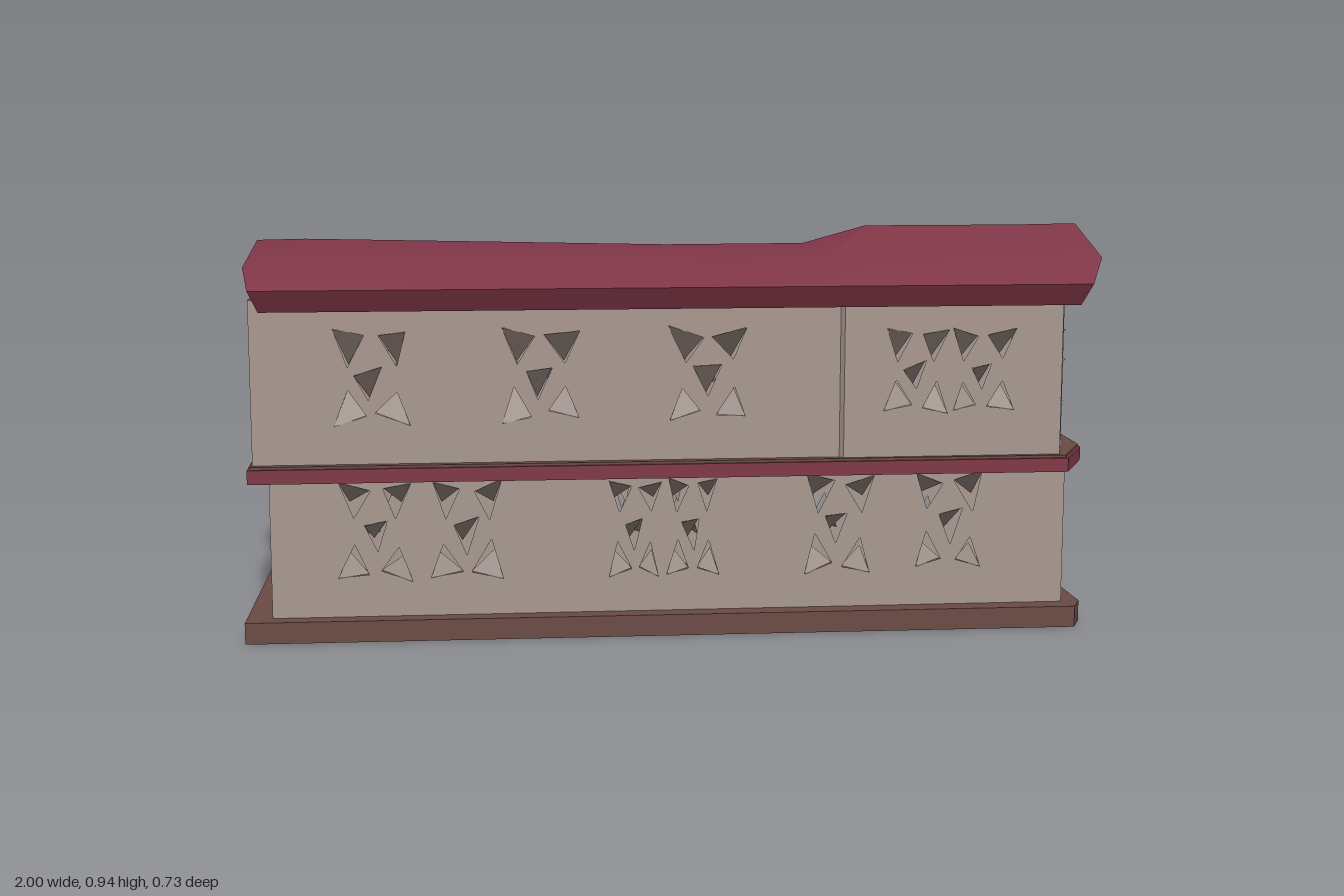
import * as THREE from 'three';
import { toCreasedNormals } from 'three/addons/utils/BufferGeometryUtils.js';

const mat = (name, color) => {
  const m = new THREE.MeshStandardMaterial({ color, side: THREE.DoubleSide });
  m.name = name;
  return m;
};

let seed = 7;
const jitter = (a) => {
  seed = (seed * 16807) % 2147483647;
  return (seed / 2147483647 - 0.5) * 2 * a;
};

// Broken window: triangular openings in a frame of half size hw x hh
function windowTriangles([u, y, hw, hh]) {
  const tris = [];
  for (const sx of [-1, 1]) for (const sy of [-1, 1])
    tris.push([[0.95 * sx, 0.95 * sy], [0.16 * sx, 0.8 * sy], [0.6 * sx, 0.25 * sy]]);
  tris.push([[-0.35, 0.1], [0.3, 0.2], [0, -0.45]]);
  return tris.map((t) => t.map(([a, b]) => [u + (a + jitter(0.07)) * hw, y + (b + jitter(0.07)) * hh]));
}

const geometryFrom = (positions) => {
  const g = new THREE.BufferGeometry();
  g.setAttribute('position', new THREE.Float32BufferAttribute(positions, 3));
  return g;
};

// Flat wall from p0 to p1 (x, z), seen from outside left to right
function wall(name, p0, p1, y0, y1, material, windows = [], shardMaterial = material, gap = 0) {
  const g = new THREE.Group();
  g.name = name;
  const dx = p1[0] - p0[0], dz = p1[1] - p0[1], len = Math.hypot(dx, dz);
  const shape = new THREE.Shape([[0, y0], [len, y0], [len, y1], [0, y1]].map((p) => new THREE.Vector2(...p)));
  const shards = [];
  for (const w of windows) {
    for (const [a, b, c] of windowTriangles(w)) {
      shape.holes.push(new THREE.Path([a, b, c].map((p) => new THREE.Vector2(...p))));
      // bent shard hanging in the opening
      const tip = [c[0] + (a[0] - c[0]) * gap, c[1] + (a[1] - c[1]) * gap];
      shards.push(...a, 0.006, ...b, -0.01, ...tip, -0.05);
    }
  }
  const panel = new THREE.Mesh(new THREE.ShapeGeometry(shape), material);
  panel.name = 'wallPanel';
  g.add(panel);
  if (shards.length) {
    const geo = geometryFrom(shards);
    geo.computeVertexNormals();
    const s = new THREE.Mesh(geo, shardMaterial);
    s.name = 'windowShards';
    g.add(s);
  }
  g.position.set(p0[0], 0, p0[1]);
  g.rotation.y = Math.atan2(-dz, dx);
  return g;
}

// Extruded floor outline from plan points (x, z)
function slab(name, plan, y0, y1, material) {
  const shape = new THREE.Shape(plan.map(([x, z]) => new THREE.Vector2(x, -z)));
  const geo = new THREE.ExtrudeGeometry(shape, { depth: y1 - y0, bevelEnabled: false });
  geo.rotateX(-Math.PI / 2).translate(0, y0, 0);
  const m = new THREE.Mesh(geo, material);
  m.name = name;
  return m;
}

// Roof ring from front eave over the ridge to the back eave, as [z, y]
const roofRing = (ridge) => [
  [0.335, 0.775], [0.362, 0.825], [0.25, 0.862 + (ridge - 0.893) * 0.3], [0, ridge],
  [-0.22, 0.855 + (ridge - 0.893) * 0.4], [-0.368, 0.825], [-0.345, 0.775],
];

function buildRoof(roofMat, gableMat) {
  const g = new THREE.Group();
  g.name = 'roof';
  const leftX = [-0.93, -0.95, -0.97, -0.96, -0.985, -1, -0.98];
  const rightX = [0.92, 0.94, 0.99, 0.995, 0.99, 0.98, 0.97];
  const section = (x, ridge) => roofRing(ridge).map(([z, y], j) => [Array.isArray(x) ? x[j] : x, y, z]);
  // gable opening inside the end rim
  const inset = (ring, shift) => ring.map(([x, y, z]) => [x + shift, 0.835 + Math.max(0, y - 0.825) * 0.68, z * 0.56]);
  const left = section(leftX, 0.91), right = section(rightX, 0.937);
  const middle = [[-0.85, 0.912], [-0.4, 0.902], [0, 0.893], [0.33, 0.894], [0.48, 0.935], [0.85, 0.935]];
  const rings = [inset(left, 0.05), inset(left, 0), left, ...middle.map(([x, r]) => section(x, r)),
    right, inset(right, 0), inset(right, -0.06)];
  const pos = [];
  for (let i = 0; i < rings.length - 1; i++) {
    const a = rings[i], b = rings[i + 1];
    for (let j = 0; j < a.length; j++) {
      const k = (j + 1) % a.length;
      pos.push(...a[j], ...b[j], ...b[k], ...a[j], ...b[k], ...a[k]);
    }
  }
  const shell = new THREE.Mesh(toCreasedNormals(geometryFrom(pos), 0.5), roofMat);
  shell.name = 'roofShell';
  g.add(shell);
  // recessed gable panels
  [['leftGable', rings[0], true, roofMat], ['rightGable', rings[rings.length - 1], false, gableMat]].forEach(([name, r, flip, m]) => {
    const p = [];
    for (let j = 1; j < r.length - 1; j++) p.push(...r[0], ...(flip ? r[j + 1] : r[j]), ...(flip ? r[j] : r[j + 1]));
    const geo = geometryFrom(p);
    geo.computeVertexNormals();
    const mesh = new THREE.Mesh(geo, m);
    mesh.name = name;
    g.add(mesh);
  });
  return g;
}

export function createModel() {
  const plaster = mat('plaster', 0xa8988f);
  const shard = mat('windowShard', 0x8d7e77);
  const red = mat('roofRed', 0x7f3647);
  const brown = mat('baseBrown', 0x6a4a44);
  const model = new THREE.Group();
  model.name = 'building';

  // Plinth
  model.add(slab('plinth', [[-0.99, 0.245], [0.95, 0.255], [0.975, 0.2], [0.96, -0.272], [-0.98, -0.272]], 0, 0.05, brown));

  // Lower storey
  const lx = 0.93, lf = 0.205, lb = -0.275;
  const win = (x, hw = 0.085, hh = 0.12, y = 0.25) => [x, y, hw, hh];
  const lower = [-0.69, -0.09, 0.045, 0.39, 0.655];
  model.add(
    wall('lowerFrontWall', [-lx, lf], [lx, lf], 0.04, 0.4, plaster, [...lower, -0.48].map((x) => win(x + lx, Math.abs(x) < 0.1 ? 0.062 : 0.085)), shard, 0.35),
    wall('lowerRightWall', [lx, lf], [lx, lb], 0.04, 0.4, plaster),
    wall('lowerBackWall', [lx, lb], [-lx, lb], 0.04, 0.4, plaster, lower.map((x) => win(lx - x, Math.abs(x) < 0.1 ? 0.062 : 0.085)), shard, 0.35),
    wall('lowerLeftWall', [-lx, lb], [-lx, lf], 0.04, 0.4, plaster, [win(0.32)], shard, 0.35),
  );

  // Ledge between the storeys
  const ledge = [[-0.965, 0.335], [0.9, 0.338], [0.97, 0.19], [0.965, -0.305], [-0.965, -0.305]];
  model.add(slab('ledge', ledge, 0.39, 0.422, red));
  model.add(slab('ledgeTop', ledge.map(([x, z]) => [x * 0.995, z * 0.98]), 0.422, 0.428, brown));

  // Upper storey with a shallow bay at the front left corner
  const up = [-0.69, -0.31, 0.07];
  const upWin = (u, hw = 0.09, hh = 0.11) => [u, 0.625, hw, hh];
  const y0 = 0.41, y1 = 0.8;
  model.add(
    wall('upperFrontWall', [-0.955, 0.308], [0.38, 0.308], y0, y1, plaster, up.map((x) => upWin(x + 0.955)), shard),
    wall('bayReturn', [0.372, 0.308], [0.38, 0.32], y0, y1, plaster),
    wall('bayFront', [0.38, 0.32], [0.885, 0.316], y0, y1, plaster, [upWin(0.165, 0.075, 0.1), upWin(0.32, 0.075, 0.1)], shard),
    wall('bayCorner', [0.885, 0.316], [0.925, 0.18], y0, y1, plaster, [upWin(0.085, 0.045, 0.1)], shard),
    wall('upperRightWall', [0.925, 0.18], [0.92, -0.285], y0, y1, plaster),
    wall('upperBackWall', [0.92, -0.285], [-0.955, -0.285], y0, y1, plaster, up.map((x) => upWin(0.92 - x)), shard),
    wall('upperLeftWall', [-0.955, -0.285], [-0.955, 0.308], y0, y1, plaster),
  );

  // Roof
  model.add(buildRoof(red, plaster));
  return model;
}
